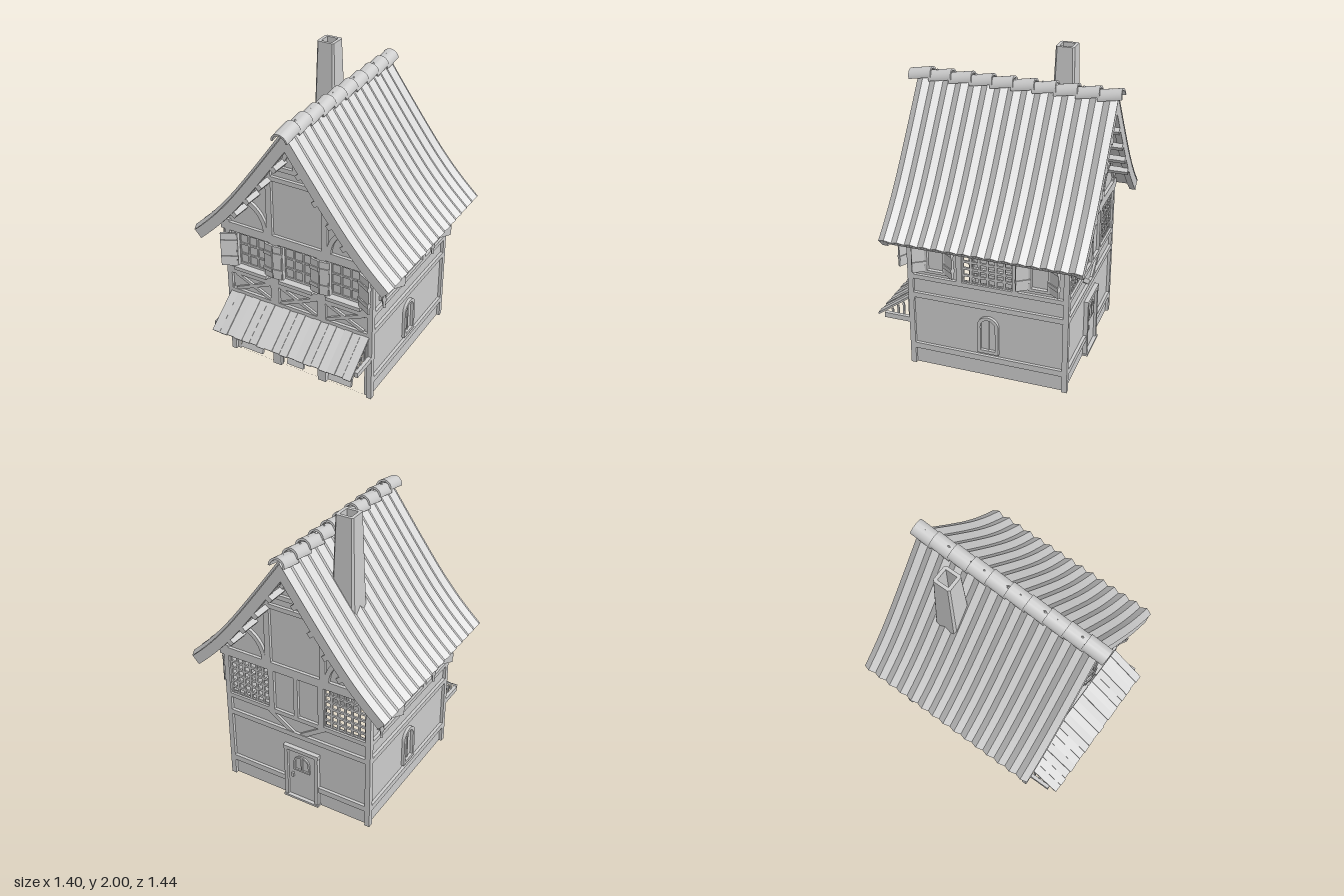
import * as THREE from 'three';
import { toCreasedNormals } from 'three/addons/utils/BufferGeometryUtils.js';

// walls are open sheets, so both sides show
const plaster = new THREE.MeshStandardMaterial({ color: 0xcccccc, side: THREE.DoubleSide });
plaster.name = 'pale grey';

function add(parent, name, geo, x = 0, y = 0, z = 0) {
  const m = new THREE.Mesh(geo, plaster);
  m.name = name;
  m.position.set(x, y, z);
  parent.add(m);
  return m;
}
// box given by its extents on a wall face: u across, v up, depth centred on z
function bar(parent, name, u0, u1, v0, v1, d = 0.04, z = 0) {
  return add(parent, name, new THREE.BoxGeometry(Math.abs(u1 - u0), v1 - v0, d), (u0 + u1) / 2, (v0 + v1) / 2, z);
}
function diagonal(parent, name, u0, v0, u1, v1, w, d = 0.03) {
  const m = add(parent, name, new THREE.BoxGeometry(Math.hypot(u1 - u0, v1 - v0), w, d), (u0 + u1) / 2, (v0 + v1) / 2, 0);
  m.rotation.z = Math.atan2(v1 - v0, u1 - u0);
}
const poly = (pts) => new THREE.Shape(pts.map((p) => new THREE.Vector2(p[0], p[1])));
const rect = (a, b, c, d) => poly([[a, c], [b, c], [b, d], [a, d]]);
const extrude = (s, depth) => new THREE.ExtrudeGeometry(s, { depth, bevelEnabled: false, curveSegments: 10 });
function arch(u, w, v0, v1) {
  const s = new THREE.Shape(), r = w / 2;
  s.moveTo(u - r, v0);
  s.lineTo(u + r, v0);
  s.lineTo(u + r, v1 - r);
  s.absarc(u, v1 - r, r, 0, Math.PI, false);
  s.lineTo(u - r, v0);
  return s;
}
function archFrame(parent, name, u, w, v0, v1, t, d) {
  const s = arch(u, w, v0, v1);
  s.holes.push(arch(u, w - 2 * t, v0 + t, v1 - t));
  add(parent, name, extrude(s, d));
}
function lattice(parent, u0, u1, v0, v1, n, m, t, z = 0) {
  for (let i = 0; i <= n; i++) {
    const u = u0 + (u1 - u0) * i / n;
    bar(parent, 'latticeUpright', u - t / 2, u + t / 2, v0, v1, 0.012, z);
  }
  for (let i = 0; i <= m; i++) {
    const v = v0 + (v1 - v0) * i / m;
    bar(parent, 'latticeRail', u0, u1, v - t / 2, v + t / 2, 0.012, z);
  }
}
// open shutter hinged at u, dir = side it opens to, angle = swing away from the wall
function shutter(parent, u, v0, v1, w, dir, angle) {
  const g = new THREE.Group();
  g.name = 'shutter';
  g.position.set(u, 0, 0.024);
  g.rotation.y = -dir * angle;
  bar(g, 'shutterBoard', 0, dir * w, v0, v1, 0.014);
  for (const v of [v0 + 0.06, v1 - 0.06]) bar(g, 'hingeStrap', -dir * 0.01, dir * w, v - 0.013, v + 0.013, 0.026);
  parent.add(g);
}

// swept roof profile, from ridge to eave
const P = new THREE.SplineCurve([[0, 1.79], [0.15, 1.58], [0.3, 1.375], [0.42, 1.22], [0.53, 1.095], [0.62, 1.005], [0.685, 0.945]]
  .map((p) => new THREE.Vector2(p[0], p[1]))).getPoints(12).map((v) => [v.x, v.y]);
function offset(d) {
  return P.map(([x, y], i) => {
    if (i === 0) return [0, y + d / 0.58];
    const a = P[i - 1], b = P[Math.min(i + 1, P.length - 1)];
    const dx = b[0] - a[0], dy = b[1] - a[1], l = Math.hypot(dx, dy);
    return [x - dy / l * d, y + dx / l * d];
  });
}
function chevron(d0, d1) {
  const o = offset(d0), n = offset(d1), flip = (p) => [-p[0], p[1]];
  return poly([...o.slice(1).reverse().map(flip), ...o, ...n.slice().reverse(), ...n.slice(1).map(flip)]);
}
// folded tile sheet: ridges alternate along z, eave edge turned down
function tileSheet(s, z0, z1, folds) {
  const low = offset(0.002), high = offset(0.024), pos = [], idx = [], cols = folds * 2 + 1;
  const rows = P.length + 1;
  for (let i = 0; i < rows; i++) {
    for (let j = 0; j < cols; j++) {
      const k = Math.min(i, P.length - 1);
      const p = j % 2 && i < P.length ? high[k] : low[k];
      pos.push(s * p[0], p[1], z0 + (z1 - z0) * j / (cols - 1));
      if (i < rows - 1 && j < cols - 1) {
        const a = i * cols + j, b = a + 1, c = a + cols, d = c + 1;
        if (s > 0) idx.push(a, b, c, b, d, c);
        else idx.push(a, c, b, b, c, d);
      }
    }
  }
  const g = new THREE.BufferGeometry();
  g.setAttribute('position', new THREE.Float32BufferAttribute(pos, 3));
  g.setIndex(idx);
  return toCreasedNormals(g, 0.35);
}

function face(root, name, x, z, turn) {
  const g = new THREE.Group();
  g.name = name;
  g.position.set(x, 0, z);
  g.rotation.y = turn;
  root.add(g);
  return g;
}
function gableOutline() {
  const top = offset(-0.025).filter((p) => p[0] < 0.48);
  return poly([[-0.515, 0], [0.515, 0], [0.515, 1.06], ...top.slice().reverse(), ...top.slice(1).map((p) => [-p[0], p[1]]), [-0.515, 1.06]]);
}
// timbers of the triangular gable
function gableTimbers(g) {
  bar(g, 'tieBeam', -0.56, 0.56, 0.945, 1.005);
  bar(g, 'collarBeam', -0.27, 0.27, 1.39, 1.42);
  bar(g, 'upperCollar', -0.21, 0.21, 1.47, 1.5);
  bar(g, 'kingPost', -0.015, 0.015, 1.5, 1.74);
  for (const s of [-1, 1]) {
    bar(g, 'gablePost', s * 0.175, s * 0.215, 1.0, 1.47);
    diagonal(g, 'rafter', s * 0.53, 1.03, 0, 1.72, 0.035);
    diagonal(g, 'peakBrace', s * 0.015, 1.68, s * 0.11, 1.5, 0.025);
    const r = new THREE.Shape(), a = s > 0 ? Math.PI : 0, b = s > 0 ? 1.9 : 1.24;
    r.absarc(s * 0.43, 1.0, 0.22, a, b, s > 0);
    r.absarc(s * 0.43, 1.0, 0.19, b, a, s < 0);
    add(g, 'curvedBrace', extrude(r, 0.02));
  }
}

export function createModel() {
  const root = new THREE.Group();
  root.name = 'timberHouse';

  // front: open arcade below, three shuttered windows above
  const front = face(root, 'frontWall', 0, 0.46, 0);
  const wall = gableOutline();
  for (const u of [-0.335, 0, 0.335]) {
    wall.holes.push(arch(u, 0.27, 0.001, 0.45), rect(u - 0.1, u + 0.1, 0.71, 0.93));
    bar(front, 'windowPane', u - 0.11, u + 0.11, 0.7, 0.94, 0.008, -0.012);
    lattice(front, u - 0.1, u + 0.1, 0.71, 0.93, 3, 3, 0.012, -0.006);
    bar(front, 'windowSill', u - 0.12, u + 0.12, 0.675, 0.7, 0.075, 0.01);
    for (const s of [-1, 1]) {
      const outer = u * s > 0.1;
      bar(front, 'windowJamb', u + s * 0.1, u + s * 0.115, 0.7, 0.94, 0.05);
      shutter(front, u + s * 0.11, 0.7, 0.94, outer ? 0.1 : 0.056, s, outer ? 0.5 : 0.15);
      diagonal(front, 'crossBrace', u - 0.13, 0.565 - s * 0.06, u + 0.13, 0.565 + s * 0.06, 0.022);
    }
  }
  add(front, 'frontPlaster', new THREE.ShapeGeometry(wall, 10));
  gableTimbers(front);
  for (const u of [-0.17, 0.17]) bar(front, 'pillar', u - 0.03, u + 0.03, 0, 0.95);
  for (const [v0, v1] of [[0.475, 0.505], [0.625, 0.675]]) bar(front, 'frontRail', -0.53, 0.53, v0, v1);
  for (const [x, w] of [[-0.39, 0.17], [-0.05, 0.125], [0.285, 0.17]]) {
    const c = add(front, 'marketCounter', new THREE.BoxGeometry(w, 0.12, 0.02), x, 0.063, -0.03);
    c.rotation.x = -0.25;
  }

  // back: door, open lattices at both ends
  const back = face(root, 'backWall', 0, -0.55, Math.PI);
  const backWall = gableOutline();
  for (const s of [-1, 1]) {
    backWall.holes.push(s > 0 ? rect(0.2, 0.49, 0.66, 0.945) : rect(-0.49, -0.2, 0.66, 0.945));
    lattice(back, s * 0.2, s * 0.49, 0.66, 0.945, 6, 6, 0.015);
    bar(back, 'upperPost', s * 0.16, s * 0.2, 0.66, 0.95);
    diagonal(back, 'chevronBrace', s * 0.2, 0.635, s * 0.03, 0.52, 0.03);
    bar(back, 'doorJamb', 0.03 + s * 0.1, 0.03 + s * 0.125, 0, 0.4, 0.055);
    bar(back, 'plinthRail', s > 0 ? 0.155 : -0.53, s > 0 ? 0.53 : -0.095, 0.115, 0.155);
  }
  add(back, 'backPlaster', new THREE.ShapeGeometry(backWall));
  gableTimbers(back);
  bar(back, 'middlePost', -0.015, 0.015, 0.66, 0.95);
  for (const [v0, v1] of [[0.495, 0.53], [0.63, 0.66]]) bar(back, 'backRail', -0.53, 0.53, v0, v1);
  bar(back, 'doorLintel', -0.1, 0.16, 0.385, 0.41, 0.06);
  bar(back, 'doorLeaf', -0.07, 0.13, 0.01, 0.385, 0.02);
  bar(back, 'doorStep', -0.1, 0.16, 0, 0.015, 0.07);
  archFrame(back, 'doorWindow', 0.03, 0.12, 0.23, 0.35, 0.012, 0.02);
  bar(back, 'doorWindowBar', 0.025, 0.035, 0.24, 0.34);
  bar(back, 'doorHandle', -0.045, -0.03, 0.17, 0.2, 0.05);

  // side walls: arched window, lattice between two shuttered windows
  for (const s of [-1, 1]) {
    const g = face(root, s > 0 ? 'leftWall' : 'rightWall', s * 0.51, 0, s * Math.PI / 2);
    const U = (z) => -s * z;
    const sw = rect(Math.min(U(0.46), U(-0.55)), Math.max(U(0.46), U(-0.55)), 0, 1.07);
    sw.holes.push(rect(Math.min(U(0.115), U(-0.21)), Math.max(U(0.115), U(-0.21)), 0.66, 0.945));
    add(g, 'sidePlaster', new THREE.ShapeGeometry(sw));
    lattice(g, U(0.115), U(-0.21), 0.66, 0.945, 6, 6, 0.015);
    for (const [v0, v1] of [[0.115, 0.155], [0.495, 0.53], [0.63, 0.66], [0.945, 0.99]]) bar(g, 'sideRail', U(0.47), U(-0.56), v0, v1);
    for (const z of [0.135, -0.23]) bar(g, 'sidePost', U(z + 0.018), U(z - 0.018), 0.66, 0.95);
    archFrame(g, 'archWindowFrame', U(-0.05), 0.14, 0.175, 0.44, 0.022, 0.02);
    bar(g, 'archWindowBar', U(-0.045), U(-0.055), 0.18, 0.42, 0.012);
    for (const z of [0.29, -0.385]) {
      archFrame(g, 'upperWindowFrame', U(z), 0.14, 0.69, 0.94, 0.018, 0.025);
      for (const d of [-1, 1]) shutter(g, U(z) + d * 0.07, 0.7, 0.93, 0.08, d, 0.6);
    }
    // corner posts
    for (const z of [0.4625, -0.5525]) add(root, 'cornerPost', new THREE.BoxGeometry(0.035, 1.02, 0.035), s * 0.5125, 0.51, z);
  }

  // roof: slab, folded tiles, bargeboards, purlin ends
  add(root, 'roofSlab', extrude(chevron(0, -0.03), 1.25), 0, 0, -0.675);
  for (const s of [-1, 1]) add(root, 'roofTiles', tileSheet(s, -0.69, 0.59, 15));
  for (const z of [-0.685, 0.545]) add(root, 'bargeboard', extrude(chevron(0, -0.066), 0.04), 0, 0, z);
  const under = offset(-0.08);
  for (const s of [-1, 1]) {
    for (const k of [2, 3.4, 4.8, 6.4]) {
      const i = Math.floor(k), f = k - i, a = under[i], b = under[i + 1];
      for (const z of [0.515, -0.62]) {
        const m = add(root, 'purlinEnd', new THREE.BoxGeometry(0.035, 0.035, 0.13), s * (a[0] + (b[0] - a[0]) * f), a[1] + (b[1] - a[1]) * f, z);
        m.rotation.z = -s * 0.9;
      }
    }
  }

  // overlapping ridge tiles
  const cap = new THREE.Shape();
  cap.absarc(0, 0, 0.055, 0, Math.PI, false);
  cap.absarc(0, 0, 0.042, Math.PI, 0, true);
  for (let i = 0; i < 10; i++) {
    const t = add(root, 'ridgeTile', toCreasedNormals(extrude(cap, 0.15), 0.6), 0, 1.785, 0.49 - i * 0.1345);
    t.rotation.x = 0.17;
  }

  // tapered hollow chimney
  const flue = poly([[-0.07, -0.085], [0.07, -0.085], [0.085, -0.07], [0.085, 0.07], [0.07, 0.085], [-0.07, 0.085], [-0.085, 0.07], [-0.085, -0.07]]);
  flue.holes.push(rect(-0.055, 0.055, -0.055, 0.055));
  const stack = extrude(flue, 0.8).rotateX(-Math.PI / 2);
  const p = stack.attributes.position;
  for (let i = 0; i < p.count; i++) {
    const k = 1 - 0.38 * p.getY(i);
    p.setXYZ(i, p.getX(i) * k, p.getY(i), p.getZ(i) * k);
  }
  stack.computeVertexNormals();
  add(root, 'chimney', stack, -0.22, 1.2, -0.305);

  // plank awning on side brackets
  const awning = new THREE.Group();
  awning.name = 'awning';
  awning.position.set(0, 0.475, 0.475);
  awning.rotation.x = 0.635;
  for (let i = 0; i < 18; i++) {
    const l = 0.288 + 0.003 * Math.sin(i * 2.3);
    const b = add(awning, 'awningPlank', new THREE.BoxGeometry(0.055, 0.012, l), -0.48 + i * 0.0565, 0.003 * (i % 2), l / 2);
    b.rotation.z = 0.06 * Math.sin(i * 1.7);
  }
  root.add(awning);
  for (const s of [-1, 1]) {
    add(root, 'awningBracket', new THREE.BoxGeometry(0.025, 0.035, 0.18), s * 0.515, 0.318, 0.565);
    for (let i = 0; i < 4; i++) {
      const h = 0.12 - i * 0.03;
      add(root, 'awningStrut', new THREE.BoxGeometry(0.012, h, 0.012), s * 0.5, 0.33 + h / 2, 0.49 + i * 0.04);
    }
  }
  return root;
}
